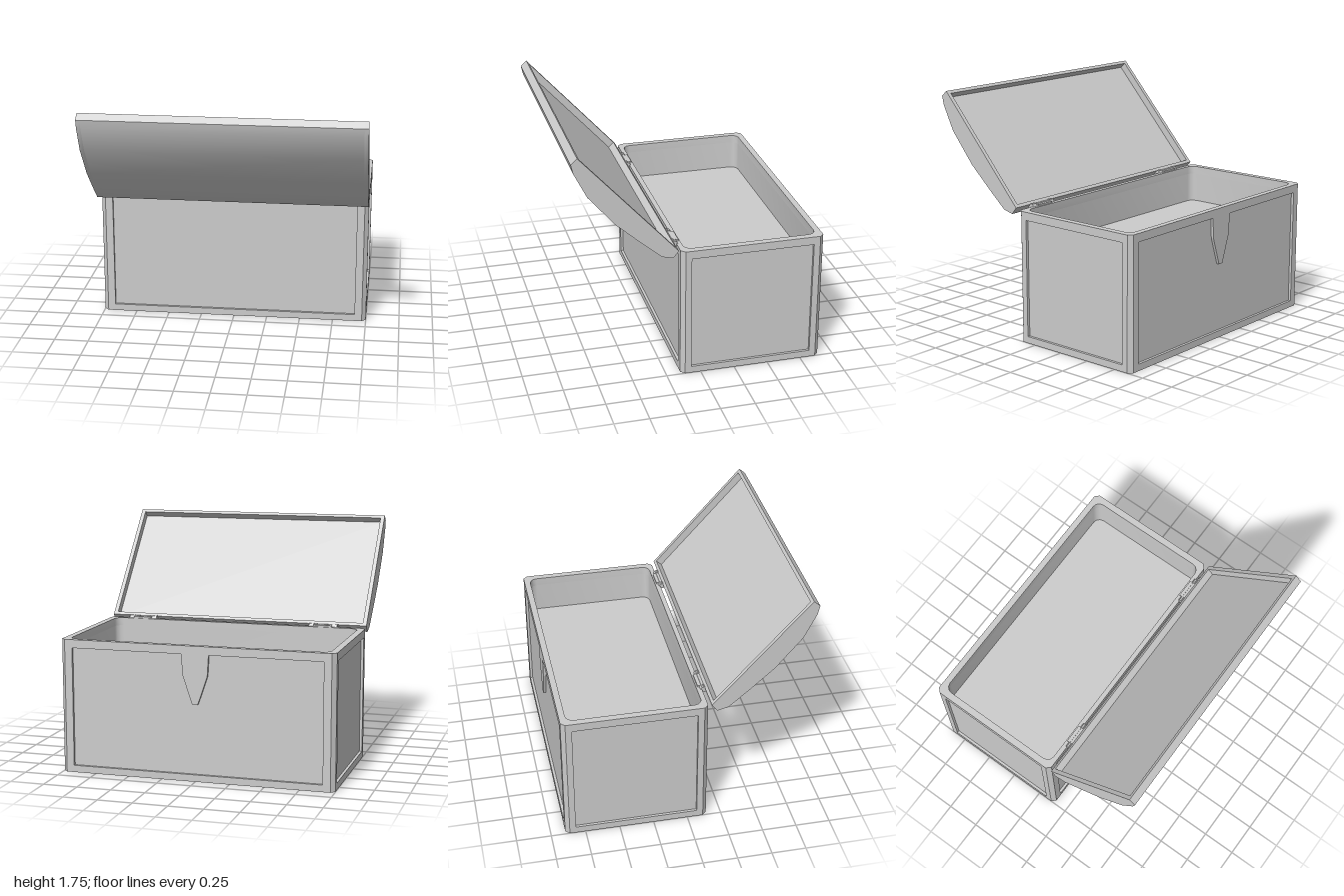
import * as THREE from 'three';
import { toCreasedNormals } from 'three/addons/utils/BufferGeometryUtils.js';

const material = new THREE.MeshStandardMaterial({ color: 0xcccccc });
const BACK = -0.895, FRONT = 0.145, TOP = 0.97, FLOOR = 0.69;
const RECESS = 0.02, CHAMFER = 0.03;

const points = (list) => list.map(([a, b]) => new THREE.Vector2(a, b));

function add(parent, name, geometry) {
  const mesh = new THREE.Mesh(geometry, material);
  mesh.name = name;
  parent.add(mesh);
  return mesh;
}

// Plan shape (x, z) raised from y0 to y1
function raise(shape, y0, y1) {
  const g = new THREE.ExtrudeGeometry(shape, { depth: y1 - y0, bevelEnabled: false });
  return toCreasedNormals(g.rotateX(Math.PI / 2).translate(0, y1, 0), 0.6);
}

// Side profile (z, y) swept from x0 to x1
function sweep(profile, x0, x1) {
  const g = new THREE.ExtrudeGeometry(new THREE.Shape(points(profile)), { depth: x1 - x0, bevelEnabled: false });
  return toCreasedNormals(g.rotateY(-Math.PI / 2).translate(x1, 0, 0), 0.6);
}

// Outer plan with chamfered corners; recess > 0 sinks a panel into each side
function outerPlan(recess) {
  const side = (length, margin) => recess > 0
    ? [[CHAMFER, 0], [margin, 0], [margin, recess], [length - margin, recess], [length - margin, 0], [length - CHAMFER, 0]]
    : [[CHAMFER, 0], [length - CHAMFER, 0]];
  const depth = FRONT - BACK;
  return new THREE.Shape(points([
    ...side(2, 0.085).map(([s, d]) => [-1 + s, BACK + d]),
    ...side(depth, 0.075).map(([s, d]) => [1 - d, BACK + s]),
    ...side(2, 0.085).map(([s, d]) => [1 - s, FRONT - d]),
    ...side(depth, 0.075).map(([s, d]) => [-1 + d, FRONT - s]),
  ]));
}

// Cavity plan with softened corners
function cavityPoints() {
  const r = 0.055, x = 0.95, z0 = -0.85, z1 = 0.11, out = [];
  const centres = [[x - r, z1 - r], [-x + r, z1 - r], [-x + r, z0 + r], [x - r, z0 + r]];
  centres.forEach(([cx, cz], i) => {
    for (let k = 0; k <= 3; k++) {
      const a = (i + k / 3) * Math.PI / 2;
      out.push(new THREE.Vector2(cx + r * Math.cos(a), cz + r * Math.sin(a)));
    }
  });
  return out;
}

function withCavity(shape) {
  shape.holes.push(new THREE.Path(cavityPoints()));
  return shape;
}

function buildBody() {
  const body = new THREE.Group();
  body.name = 'body';
  add(body, 'baseBand', raise(outerPlan(0), 0, 0.05));
  add(body, 'panelledWalls', raise(withCavity(outerPlan(RECESS)), 0.05, 0.91));
  add(body, 'topRim', raise(withCavity(outerPlan(0)), 0.91, TOP));
  add(body, 'innerFloor', raise(new THREE.Shape(cavityPoints()), FLOOR - 0.03, FLOOR));

  // Pointed clasp tongue lying in the back panel
  const tongue = new THREE.Shape(points([
    [-0.1, 0.915], [-0.09, 0.76], [-0.02, 0.555], [0.02, 0.555], [0.09, 0.76], [0.1, 0.915],
  ]));
  const g = new THREE.ExtrudeGeometry(tongue, { depth: RECESS + 0.005, bevelEnabled: false });
  add(body, 'claspTongue', g.translate(0, 0, BACK));
  return body;
}

function buildLid() {
  const lid = new THREE.Group();
  lid.name = 'lid';
  const tip = [0.855, 1.745], heel = [0.165, 0.985];
  const dome = [
    [0.9, 1.705], [0.885, 1.64], [0.795, 1.46], [0.605, 1.235],
    [0.42, 1.07], [0.285, 0.955], [0.205, 0.935],
  ];
  // Recess in the inner face, measured along and into the lid
  const length = Math.hypot(tip[0] - heel[0], tip[1] - heel[1]);
  const u = [(tip[0] - heel[0]) / length, (tip[1] - heel[1]) / length];
  const inner = (s, d) => [heel[0] + u[0] * s + u[1] * d, heel[1] + u[1] * s - u[0] * d];
  const rim = 0.025, deep = 0.055;
  const notch = [inner(rim, 0), inner(rim, deep), inner(length - rim, deep), inner(length - rim, 0)];

  add(lid, 'lidShell', sweep([tip, ...dome, heel, ...notch], -0.97, 0.97));
  add(lid, 'lidRightEnd', sweep([tip, ...dome, heel], -1, -0.97));
  add(lid, 'lidLeftEnd', sweep([tip, ...dome, heel], 0.97, 1));
  return lid;
}

function buildHinge(x) {
  const hinge = new THREE.Group();
  hinge.name = 'hinge';
  hinge.position.set(x, 0, 0);
  // Leaf on the body rim
  add(hinge, 'bodyLeaf', new THREE.BoxGeometry(0.14, 0.016, 0.035).translate(0, 0.974, 0.138));
  // Knuckles around the pin
  for (const [cx, w, r] of [[-0.089, 0.037, 0.023], [0, 0.14, 0.019], [0.089, 0.037, 0.023]]) {
    const g = new THREE.CylinderGeometry(r, r, w, 6).toNonIndexed();
    g.computeVertexNormals();
    add(hinge, 'knuckle', g.rotateZ(Math.PI / 2).translate(cx, 0.968, 0.156));
  }
  // Leaves on the lid edge
  for (const s of [-1, 1]) {
    const leaf = add(hinge, 'lidLeaf', new THREE.BoxGeometry(0.037, 0.016, 0.04));
    leaf.position.set(s * 0.089, 0.972, 0.168);
    leaf.rotation.x = 0.85;
  }
  return hinge;
}

export function createModel() {
  const model = new THREE.Group();
  model.name = 'openChest';
  model.add(buildBody(), buildLid());
  for (const x of [-0.675, 0.748]) model.add(buildHinge(x));
  return model;
}
